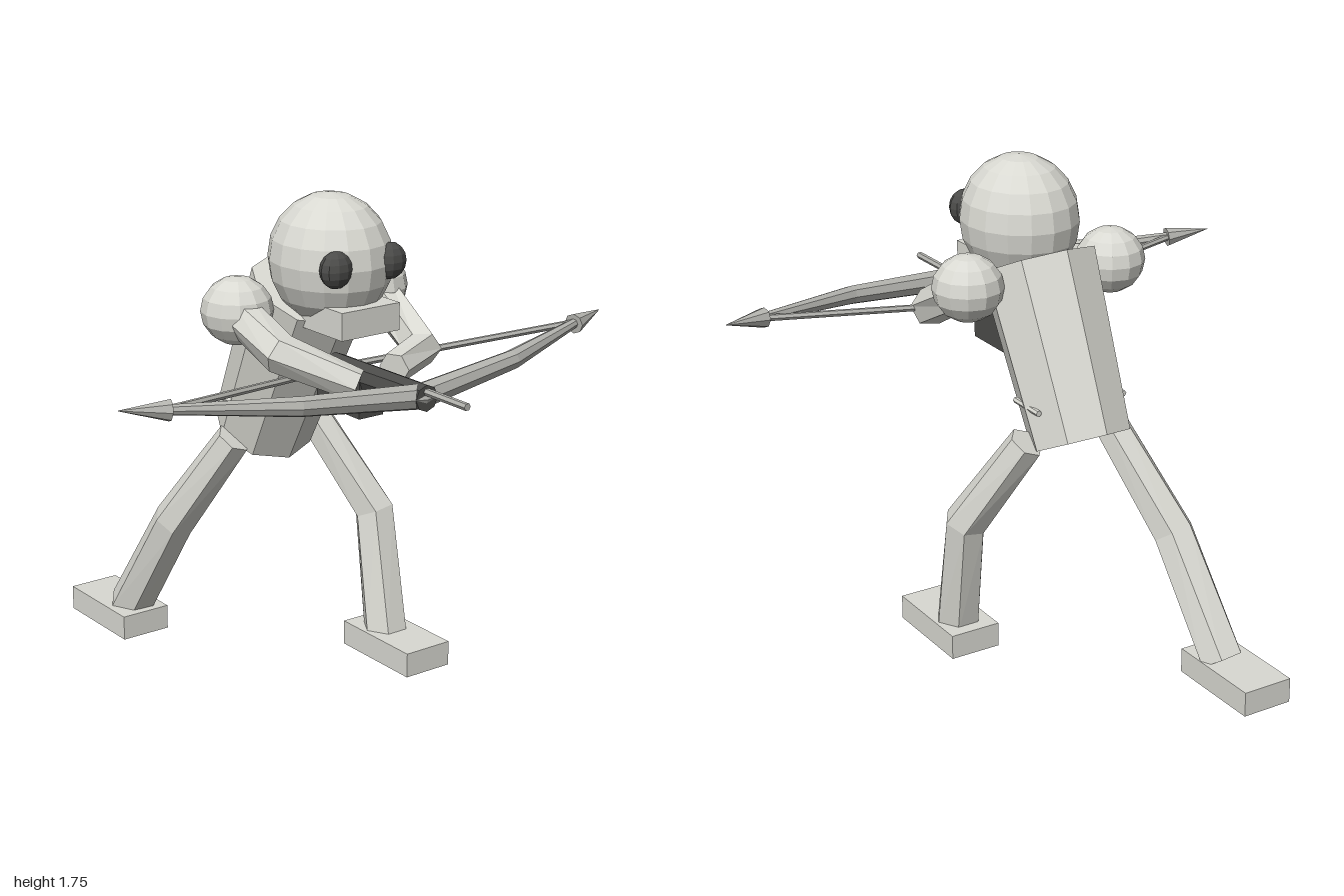
import * as THREE from 'three';

const body = new THREE.MeshStandardMaterial({ color: 0xd9d9d2 });
body.name = 'pale grey';
const dark = new THREE.MeshStandardMaterial({ color: 0x4c4c4a });
dark.name = 'charcoal';
const mid = new THREE.MeshStandardMaterial({ color: 0xb4b4af });
mid.name = 'mid grey';

// faceted mesh: split the faces so every one gets its own normal
function part(name, geometry, material) {
  const geo = geometry.index ? geometry.toNonIndexed() : geometry;
  geo.computeVertexNormals();
  const mesh = new THREE.Mesh(geo, material);
  mesh.name = name;
  return mesh;
}

// box given by its minimum and maximum corners
function box(name, min, max, material) {
  const s = max.map((v, i) => v - min[i]);
  const geo = new THREE.BoxGeometry(...s);
  geo.translate(...min.map((v, i) => v + s[i] / 2));
  return part(name, geo, material);
}

function ball(name, center, radii, material, w, h) {
  const geo = new THREE.SphereGeometry(1, w, h);
  geo.scale(...radii).translate(...center);
  return part(name, geo, material);
}

// jointed limb: polygon rings with their own radius at each path point
function limb(name, path, radii, sides, material) {
  const pts = path.map(p => new THREE.Vector3(...p));
  const pos = [], idx = [], last = pts.length - 1;
  const dir = (a, b) => pts[b].clone().sub(pts[a]).normalize();
  pts.forEach((p, i) => {
    const t = new THREE.Vector3();
    if (i > 0) t.add(dir(i - 1, i));
    if (i < last) t.add(dir(i, i + 1));
    t.normalize();
    const ref = Math.abs(t.y) > 0.6 ? new THREE.Vector3(0, 0, 1) : new THREE.Vector3(0, 1, 0);
    const n = ref.cross(t).normalize();
    const b = t.clone().cross(n);
    for (let j = 0; j < sides; j++) {
      const a = (j / sides) * Math.PI * 2;
      const v = p.clone().addScaledVector(n, radii[i] * Math.cos(a)).addScaledVector(b, radii[i] * Math.sin(a));
      pos.push(v.x, v.y, v.z);
    }
  });
  const c0 = pos.length / 3;
  pos.push(...path[0], ...path[last]);
  for (let j = 0; j < sides; j++) {
    const k = (j + 1) % sides;
    for (let i = 0; i < last; i++) {
      const a = i * sides + j, b = i * sides + k;
      idx.push(a, b, b + sides, a, b + sides, a + sides);
    }
    idx.push(c0, k, j, c0 + 1, last * sides + j, last * sides + k);
  }
  const geo = new THREE.BufferGeometry();
  geo.setAttribute('position', new THREE.Float32BufferAttribute(pos, 3));
  geo.setIndex(idx);
  return part(name, geo, material);
}

export function createModel() {
  const model = new THREE.Group();
  model.name = 'crouchingArcher';

  // head with jaw
  model.add(ball('head', [0, 1.525, 0.17], [0.205, 0.225, 0.225], body, 16, 10));
  model.add(box('jaw', [-0.12, 1.305, 0.16], [0.12, 1.4, 0.395], body));

  // torso leaning forward
  const torso = part('torso', new THREE.CylinderGeometry(0.207, 0.178, 0.634, 8), body);
  torso.position.set(0, 1.115, -0.087);
  torso.rotation.x = 0.455;
  model.add(torso);

  // paired round parts and hip bars
  for (const [s, side] of [[1, 'left'], [-1, 'right']]) {
    model.add(ball(side + 'Eye', [s * 0.112, 1.535, 0.35], [0.06, 0.063, 0.046], dark, 10, 8));
    model.add(ball(side + 'Shoulder', [s * 0.287, 1.36, 0.035], [0.124, 0.117, 0.124], body, 12, 8));
    model.add(limb(side + 'HipBar', [[s * 0.172, 0.968, -0.08], [s * 0.172, 0.968, -0.23]], [0.011, 0.011], 6, body));
  }

  // arms
  const armR = [0.07, 0.068, 0.055];
  model.add(limb('leftArm', [[0.29, 1.36, 0.035], [0.272, 1.2, 0.33], [0.08, 1.185, 0.42]], armR, 6, body));
  model.add(limb('rightArm', [[-0.29, 1.36, 0.035], [-0.315, 1.28, 0.32], [-0.135, 1.185, 0.5]], armR, 6, body));

  // legs: left stepping forward, right stretched back
  const legR = [0.064, 0.077, 0.082];
  model.add(limb('leftLeg', [[0.19, 0.85, -0.18], [0.325, 0.51, 0.01], [0.305, 0.07, 0.11]], legR, 6, body));
  model.add(limb('rightLeg', [[-0.165, 0.83, -0.17], [-0.28, 0.48, -0.39], [-0.32, 0.08, -0.64]], legR, 6, body));
  model.add(box('leftFoot', [0.21, 0, -0.015], [0.4, 0.09, 0.355], body));
  model.add(box('rightFoot', [-0.425, 0, -0.89], [-0.235, 0.09, -0.52], body));

  // crossbow
  const bow = new THREE.Group();
  bow.name = 'crossbow';
  bow.add(limb('stock', [[0, 1.15, 0.2], [0, 1.163, 0.69]], [0.054, 0.045], 8, dark));
  bow.add(box('grip', [-0.05, 1.025, 0.165], [0.05, 1.17, 0.4], dark));
  bow.add(limb('bowLimbs', [
    [-0.85, 1.228, 0.468], [-0.44, 1.195, 0.6], [0, 1.16, 0.652], [0.44, 1.195, 0.6], [0.85, 1.228, 0.468],
  ], [0.017, 0.034, 0.044, 0.034, 0.017], 8, mid));
  bow.add(limb('bolt', [[0, 1.185, 0.3], [0, 1.185, 0.89]], [0.013, 0.013], 6, mid));
  for (const s of [1, -1]) {
    bow.add(limb('bowTip', [[s * 0.84, 1.226, 0.472], [s, 1.243, 0.43]], [0.036, 0.001], 8, mid));
    bow.add(limb('bowString', [[s * 0.85, 1.228, 0.465], [0, 1.18, 0.285]], [0.012, 0.012], 6, mid));
  }
  model.add(bow);
  return model;
}
